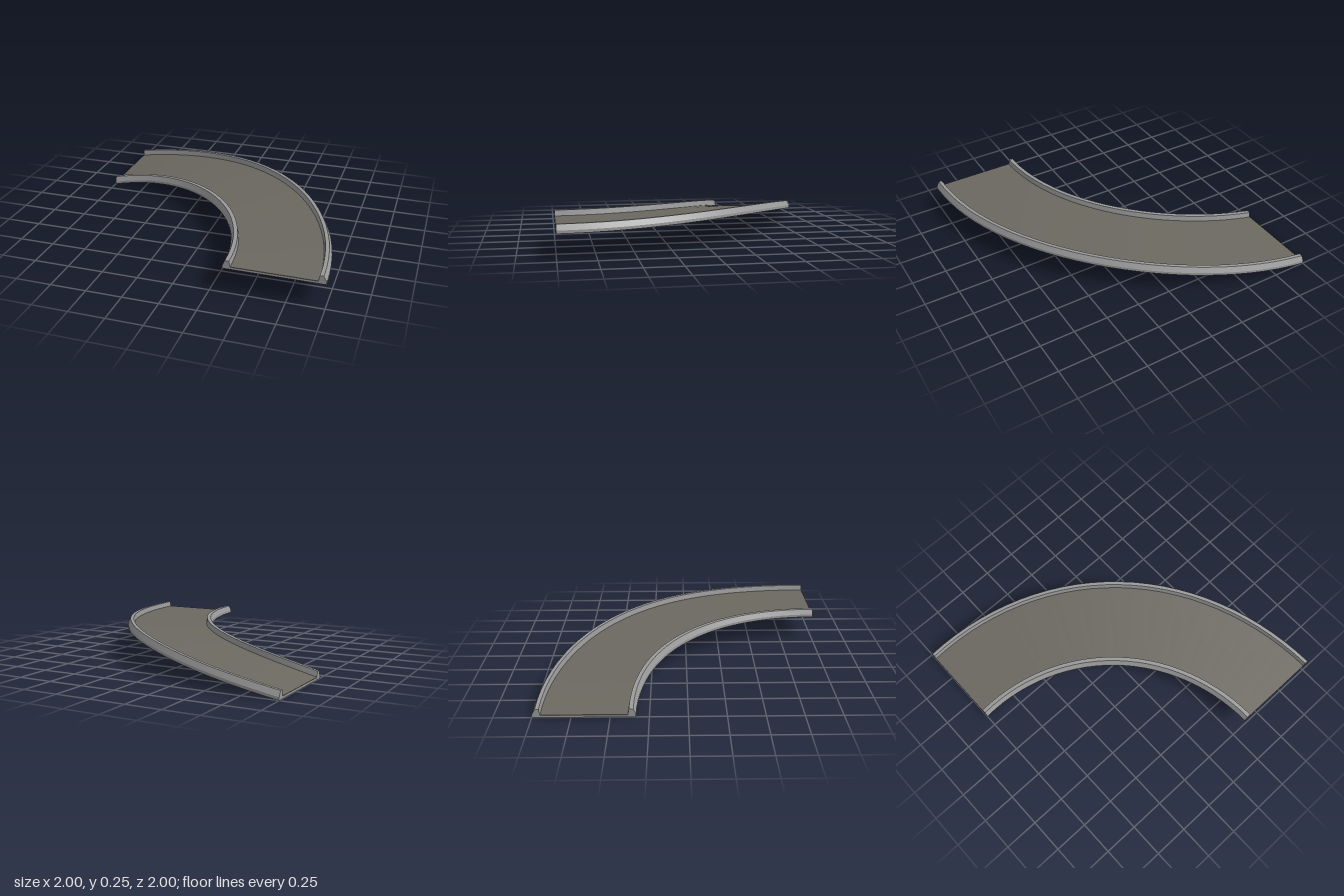
import * as THREE from 'three';
import { toCreasedNormals } from 'three/addons/utils/BufferGeometryUtils.js';

const INNER = 1.335, OUTER = 2, RISE = 0.175, BANK = 0.03, STEPS = 28;

// Point on the banked, rising quarter turn: radius r, height h above the base, f from 0 to 1
function place(r, h, f) {
  const a = f * Math.PI / 2;
  const across = (r - INNER) / (OUTER - INNER);
  const y = RISE * (1 - (1 - f) ** 3) + BANK * across * Math.sin(Math.PI * f) ** 2 + h;
  return [-1 + r * Math.sin(a), y, 1 - r * Math.cos(a)];
}

// Sweep a closed counter-clockwise (radius, height) profile along the turn, with end caps
function sweep(profile) {
  const n = profile.length, pos = [], idx = [];
  for (let i = 0; i <= STEPS; i++) {
    for (const [r, h] of profile) pos.push(...place(r, h, i / STEPS));
  }
  for (let i = 0; i < STEPS; i++) {
    for (let j = 0; j < n; j++) {
      const a = i * n + j, b = i * n + (j + 1) % n;
      idx.push(a, b, b + n, a, b + n, a + n);
    }
  }
  const caps = THREE.ShapeUtils.triangulateShape(profile.map(([r, h]) => new THREE.Vector2(r, h)), []);
  const last = STEPS * n;
  for (const [a, b, c] of caps) idx.push(c, b, a, last + a, last + b, last + c);
  const geo = new THREE.BufferGeometry();
  geo.setAttribute('position', new THREE.Float32BufferAttribute(pos, 3));
  geo.setIndex(idx);
  return toCreasedNormals(geo, 0.4);
}

export function createModel() {
  const railGrey = new THREE.MeshStandardMaterial({ color: 0x999999 });
  railGrey.name = 'rail grey';
  const deckBrown = new THREE.MeshStandardMaterial({ color: 0x6b6860 });
  deckBrown.name = 'deck brown grey';

  const group = new THREE.Group();
  group.name = 'curvedTrack';

  // Channel-shaped body: thin floor with a chamfered rail on each side
  const body = new THREE.Mesh(sweep([
    [INNER, 0], [OUTER, 0], [OUTER, 0.02], [1.98, 0.057], [1.955, 0.057],
    [1.947, 0.012], [1.388, 0.012], [1.38, 0.057], [1.352, 0.057], [INNER, 0.02],
  ]), railGrey);
  body.name = 'bodyWithSideRails';

  // Running surface laid between the rails
  const deck = new THREE.Mesh(sweep([
    [1.388, 0.01], [1.947, 0.01], [1.948, 0.018], [1.387, 0.018],
  ]), deckBrown);
  deck.name = 'deck';

  group.add(body, deck);
  return group;
}
